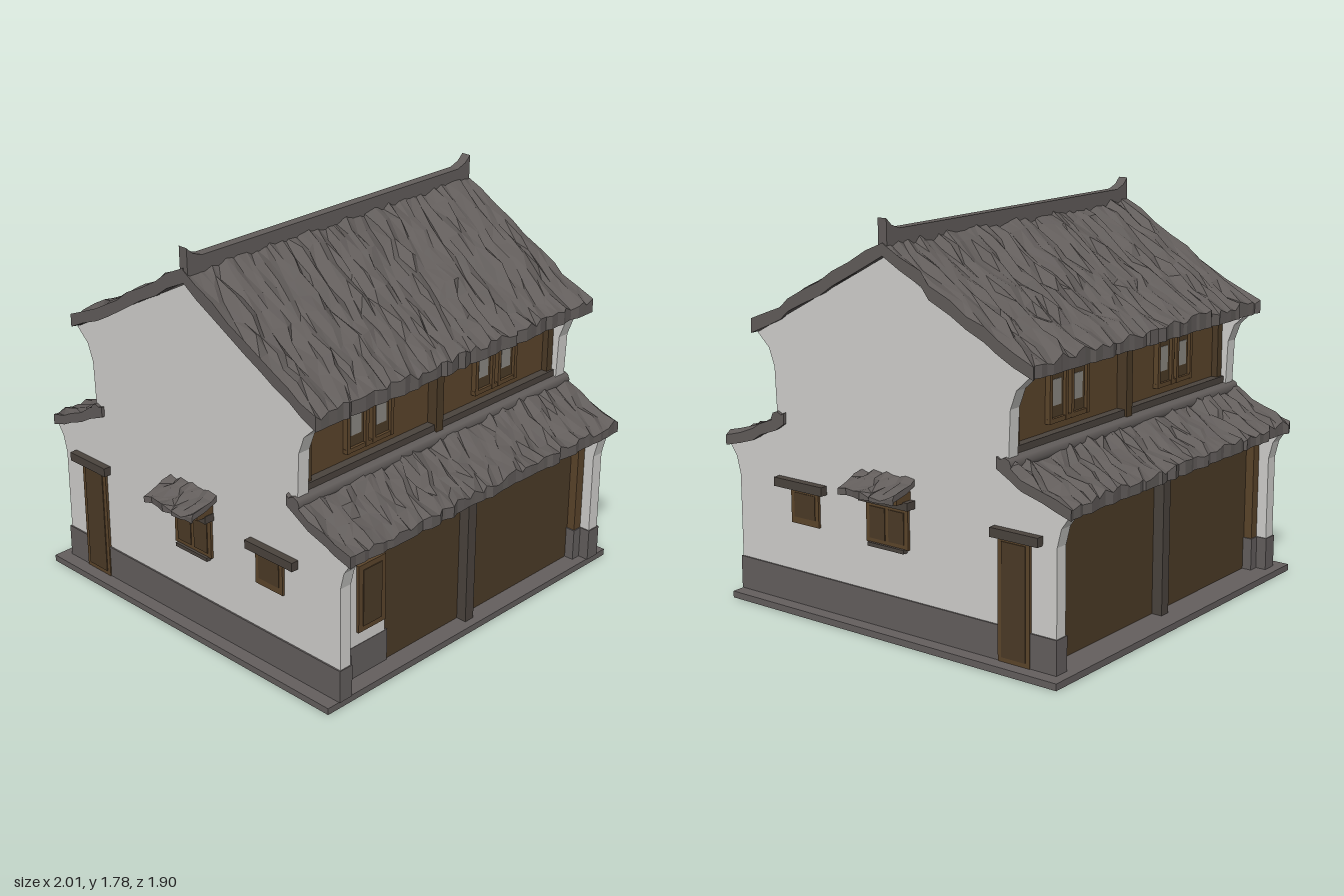
import * as THREE from 'three';

const mat = (name, color) => {
  const m = new THREE.MeshStandardMaterial({ color });
  m.name = name;
  return m;
};

export function createModel() {
  const house = new THREE.Group();
  house.name = 'house';
  const M = {
    plaster: mat('white plaster', 0xd2d1ce),
    stone: mat('grey stone', 0x645f5e),
    roof: mat('grey tiles', 0x625d5b),
    panel: mat('dark wood panel', 0x4c3b27),
    wood: mat('brown wood', 0x5c452b),
    beam: mat('weathered beam', 0x4b443e),
    pane: mat('pale pane', 0x8c8983),
  };

  const add = (parent, name, geo, material, x = 0, y = 0, z = 0) => {
    const m = new THREE.Mesh(geo, material);
    m.name = name;
    m.position.set(x, y, z);
    parent.add(m);
    return m;
  };
  // Box given by its limits on each axis
  const box = (parent, name, material, [x0, x1], [y0, y1], [z0, z1]) =>
    add(parent, name, new THREE.BoxGeometry(x1 - x0, y1 - y0, z1 - z0), material,
      (x0 + x1) / 2, (y0 + y1) / 2, (z0 + z1) / 2);
  const extrude = (points, depth) => new THREE.ExtrudeGeometry(
    new THREE.Shape(points.map(p => new THREE.Vector2(...p))), { depth, bevelEnabled: false });

  // Repeatable noise in -1..1
  const noise = (a, b, c) => {
    const s = Math.sin(a * 127.1 + b * 311.7 + c * 74.7) * 43758.5453;
    return (s - Math.floor(s)) * 2 - 1;
  };

  // Rough faceted roof slab following a [z, y] profile from ridge to eave
  const roofSlab = (width, nx, nz, profile, thick, bump, seed) => {
    const geo = new THREE.BoxGeometry(width, 1, 1, nx, 1, nz);
    const p = geo.attributes.position;
    for (let k = 0; k < p.count; k++) {
      const i = Math.round((p.getX(k) / width + 0.5) * nx);
      const j = Math.round((p.getZ(k) + 0.5) * nz);
      const f = (j / nz) * (profile.length - 1);
      const s = Math.min(Math.floor(f), profile.length - 2);
      const [a, b] = [profile[s], profile[s + 1]];
      const z = THREE.MathUtils.lerp(a[0], b[0], f - s);
      const y = THREE.MathUtils.lerp(a[1], b[1], f - s);
      const top = p.getY(k) > 0;
      const inner = i > 0 && i < nx;
      const dx = inner ? noise(i, j, seed) * width / nx * 0.42 : 0;
      const dz = j > 0 ? noise(i, j, seed + 1) * (j < nz ? 0.025 : 0.01) : 0;
      const dy = top ? noise(i, j, seed + 2) * bump * (inner ? 1 : 0.4) : -thick;
      p.setXYZ(k, p.getX(k) + dx, y + dy, z + dz);
    }
    const flat = geo.toNonIndexed();
    flat.computeVertexNormals();
    return flat;
  };

  // Ground slab
  box(house, 'base', M.stone, [-0.92, 0.92], [0, 0.03], [-0.92, 0.87]);

  // Gable walls with flared eaves, mirrored front to back
  const half = [[0.87, 0.03], [0.87, 0.56], [0.89, 0.64], [0.925, 0.69], [0.76, 0.75],
    [0.63, 0.83], [0.64, 1.08], [0.67, 1.16], [0.735, 1.22]];
  const outline = [...half, [0, 1.62], ...half.map(([z, y]) => [-z, y]).reverse()];

  for (const s of [1, -1]) {
    const side = new THREE.Group();
    side.name = s > 0 ? 'leftSide' : 'rightSide';
    house.add(side);
    const wall = extrude(outline, 0.06);
    wall.rotateY(-Math.PI / 2);
    add(side, 'gableWall', wall, M.plaster, s > 0 ? 0.85 : -0.79);

    // Box placed outward from the wall, mirrored for the other side
    const out = (name, m, x0, x1, y, z) =>
      box(side, name, m, s > 0 ? [x0, x1] : [-x1, -x0], y, z);
    out('plinth', M.stone, 0.785, 0.857, [0.03, 0.18], [-0.875, 0.875]);

    // Small window
    out('smallWindow', M.wood, 0.84, 0.862, [0.4, 0.56], [0.39, 0.55]);
    out('smallWindowPanel', M.panel, 0.85, 0.865, [0.43, 0.54], [0.41, 0.53]);
    out('smallWindowLintel', M.beam, 0.84, 0.885, [0.555, 0.595], [0.35, 0.63]);

    // Middle window with two shutters
    out('middleWindow', M.wood, 0.84, 0.862, [0.4, 0.6], [-0.115, 0.115]);
    for (const z of [-0.052, 0.052])
      out('shutter', M.panel, 0.85, 0.866, [0.42, 0.56], [z - 0.042, z + 0.042]);
    out('middleWindowSill', M.beam, 0.84, 0.875, [0.385, 0.402], [-0.1, 0.1]);

    // Tiled awning with brackets
    const awning = roofSlab(0.29, 8, 4, [[0, 0.71], [0.15, 0.655]], 0.025, 0.014, 31);
    add(side, 'awning', awning, M.roof, s * 0.845).rotation.y = s * Math.PI / 2;
    out('awningBeam', M.beam, 0.84, 0.9, [0.585, 0.62], [-0.145, 0.125]);
    for (const z of [-0.11, 0.11])
      out('awningBracket', M.wood, 0.84, 0.94, [0.615, 0.655], [z - 0.012, z + 0.012]);

    // Side door
    out('doorFrame', M.wood, 0.84, 0.862, [0.03, 0.56], [-0.745, -0.585]);
    out('doorLeaf', M.panel, 0.85, 0.866, [0.05, 0.54], [-0.725, -0.605]);
    out('doorLintel', M.beam, 0.84, 0.885, [0.555, 0.595], [-0.8, -0.56]);
  }

  // Front and back are alike: panels, posts, windows and roofs
  for (const back of [0, 1]) {
    const face = new THREE.Group();
    face.name = back ? 'backHalf' : 'frontHalf';
    face.rotation.y = back * Math.PI;
    house.add(face);

    box(face, 'lowerPanel', M.panel, [-0.79, 0.79], [0.03, 0.72], [0, 0.78]);
    box(face, 'upperPanel', M.wood, [-0.79, 0.79], [0.72, 1.28], [0, 0.58]);

    // Beams and posts
    box(face, 'lowerBeam', M.beam, [-0.79, 0.79], [0.645, 0.69], [0.76, 0.83]);
    box(face, 'sillBeam', M.beam, [-0.79, 0.79], [0.87, 0.915], [0.56, 0.62]);
    box(face, 'eaveBeam', M.panel, [-0.79, 0.79], [1.21, 1.25], [0.56, 0.62]);
    box(face, 'lowerCentrePost', M.beam, [-0.026, 0.026], [0.03, 0.7], [0.77, 0.83]);
    box(face, 'upperCentrePost', M.panel, [-0.022, 0.022], [0.85, 1.24], [0.57, 0.63]);
    for (const x of [-0.768, 0.768]) {
      box(face, 'lowerCornerPost', M.wood, [x - 0.024, x + 0.024], [0.03, 0.68], [0.76, 0.82]);
      box(face, 'postFoot', M.stone, [x - 0.03, x + 0.03], [0.03, 0.18], [0.755, 0.825]);
      box(face, 'upperCornerPost', M.panel, [x - 0.018, x + 0.018], [0.88, 1.24], [0.56, 0.61]);
    }

    // Paired upper windows with pale openings
    for (const c of [-0.4, 0.4]) {
      for (const d of [-0.075, 0.075]) {
        const x = c + d;
        box(face, 'windowPanel', M.panel, [x - 0.055, x + 0.055], [0.96, 1.2], [0.575, 0.59]);
        box(face, 'windowPane', M.pane, [x - 0.03, x + 0.03], [1.02, 1.13], [0.587, 0.593]);
        for (const e of [-0.055, 0.055])
          box(face, 'windowStile', M.wood, [x + e - 0.009, x + e + 0.009], [0.95, 1.2], [0.57, 0.605]);
      }
      for (const y of [0.96, 1.19])
        box(face, 'windowRail', M.wood, [c - 0.14, c + 0.14], [y - 0.01, y + 0.01], [0.57, 0.603]);
    }

    // Upper and lower roofs
    add(face, 'mainRoof', roofSlab(1.73, 48, 9,
      [[0, 1.685], [0.4, 1.455], [0.755, 1.275]], 0.06, 0.019, 3 + back), M.roof);
    add(face, 'lowerRoof', roofSlab(1.73, 48, 5,
      [[0.58, 0.885], [0.76, 0.795], [0.94, 0.735]], 0.05, 0.016, 13 + back), M.roof);
    const roll = new THREE.CylinderGeometry(0.033, 0.033, 1.73, 8);
    roll.rotateZ(Math.PI / 2);
    add(face, 'roofRoll', roll, M.roof, 0, 0.853, 0.622);
  }

  // Ridge with raised ends
  const ridge = [[-0.86, 1.64], [0.86, 1.64], [0.862, 1.78], [0.83, 1.75], [0.78, 1.732],
    [-0.78, 1.732], [-0.83, 1.75], [-0.862, 1.78]];
  add(house, 'ridge', extrude(ridge, 0.046), M.roof, 0, 0, -0.023);

  // Plastered corner of the front with its window
  const plasterShape = [[-0.745, 0.18], [-0.5, 0.18], [-0.5, 0.25], [-0.62, 0.25],
    [-0.66, 0.3], [-0.66, 0.54], [-0.685, 0.6], [-0.745, 0.64]];
  add(house, 'frontPlaster', extrude(plasterShape, 0.008), M.plaster, 0, 0, 0.778);
  box(house, 'frontPlinth', M.stone, [-0.745, -0.485], [0.03, 0.18], [0.775, 0.788]);
  box(house, 'frontWindow', M.wood, [-0.67, -0.51], [0.245, 0.56], [0.77, 0.8]);
  box(house, 'frontWindowPanel', M.panel, [-0.645, -0.535], [0.27, 0.535], [0.79, 0.804]);

  return house;
}
